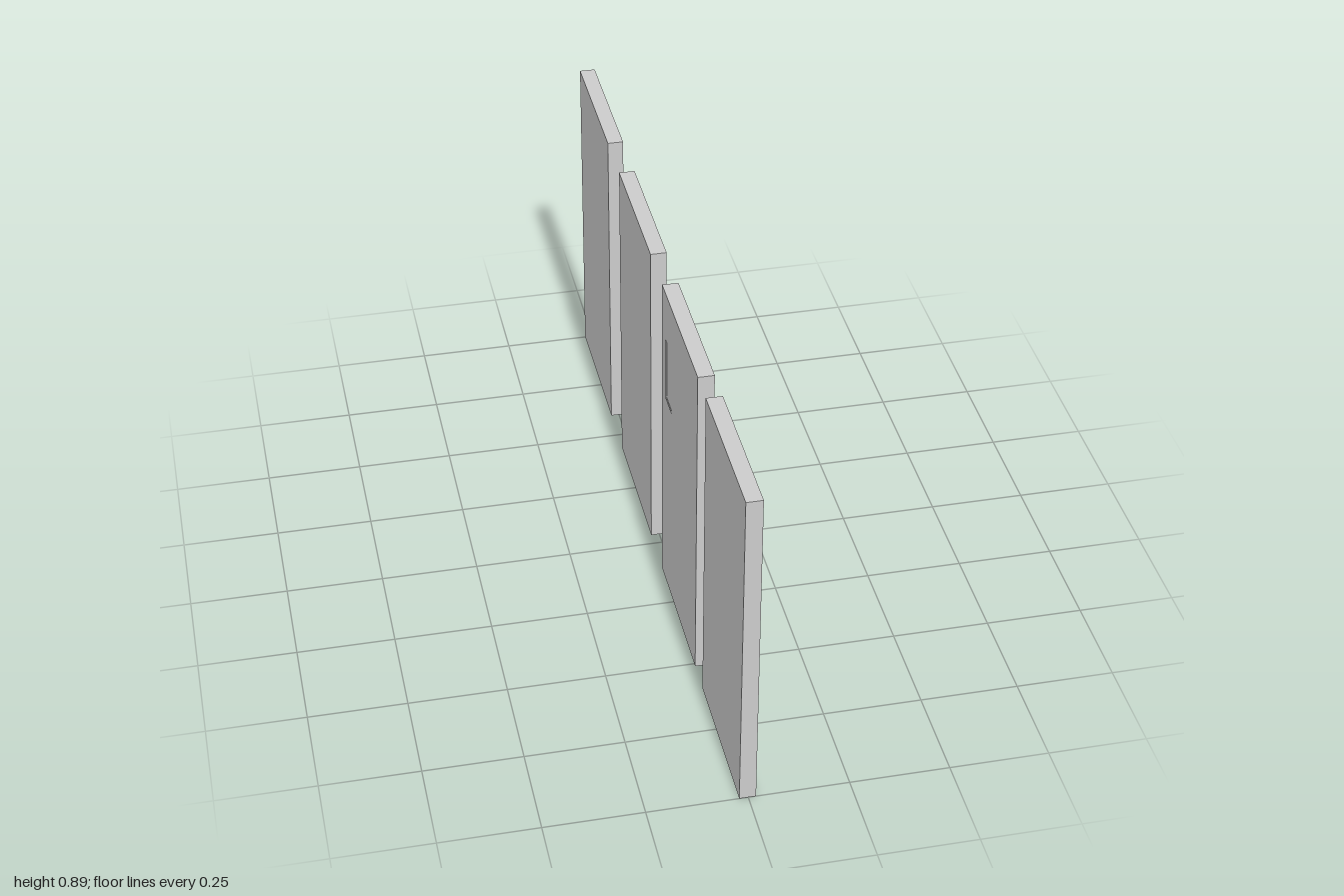
import * as THREE from 'three';
import { mergeGeometries } from 'three/addons/utils/BufferGeometryUtils.js';

const H = 0.89, W = 0.405, RIM = 0.02;
const BACK = -0.022, FLOOR = -0.018, DECK = 0.011, FRONT = 0.019;
const PITCH = 0.027;
const mat = new THREE.MeshStandardMaterial({ color: 0xcccccc, flatShading: true });

// Every panel is laid out flat: u to the right, v up, depth along z.
function add(group, name, geometry) {
  const mesh = new THREE.Mesh(geometry, mat);
  mesh.name = name;
  group.add(mesh);
  return mesh;
}
const rect = (u0, v0, u1, v1) => [[u0, v0], [u1, v0], [u1, v1], [u0, v1]];
const toShape = pts => new THREE.Shape(pts.map(p => new THREE.Vector2(...p)));

// Bevelled plate from an outline, standing on depth z with height h
function plate(group, name, pts, z, h) {
  const b = Math.min(0.002, h / 2);
  const g = new THREE.ExtrudeGeometry(toShape(pts), {
    depth: h - b, bevelEnabled: true, bevelThickness: b, bevelSize: b, bevelOffset: -b, bevelSegments: 1,
  });
  g.translate(0, 0, z);
  return add(group, name, g);
}

// Grids of small round studs: [u, v, columns, rows, pitch]
function studs(group, name, grids, z, h, r = 0.0088) {
  const stud = new THREE.CylinderGeometry(r * 0.75, r, h, 8).rotateX(Math.PI / 2);
  const parts = [];
  for (const [u, v, cols, rows, pitch = PITCH] of grids)
    for (let i = 0; i < cols; i++)
      for (let j = 0; j < rows; j++)
        parts.push(stud.clone().translate(u + i * pitch, v + j * pitch, z + h / 2));
  add(group, name, mergeGeometries(parts));
}

// Raised ring around a dial face
function dial(group, u, v) {
  const r = 0.036;
  const ring = new THREE.Shape().absarc(0, 0, r, 0, Math.PI * 2);
  ring.holes.push(new THREE.Path().absarc(0, 0, r * 0.8, 0, Math.PI * 2, true));
  const g = new THREE.ExtrudeGeometry(ring, { depth: 0.006, bevelEnabled: false, curveSegments: 12 });
  add(group, 'dialRing', g.translate(u, v, FLOOR + 0.003));
}

// Plate with a row of rounded knobs
function knobStrip(group, outline, centres) {
  plate(group, 'knobStrip', outline, FLOOR, 0.01);
  for (const [u, v] of centres) {
    const g = new THREE.CylinderGeometry(0.009, 0.013, 0.012, 12).rotateX(Math.PI / 2);
    add(group, 'knob', g.translate(u, v, FLOOR + 0.016));
  }
}

// Tilted plate lying on the sloping ledge
function ledgePlate(group, u0, u1, v0 = 0.452, v1 = 0.533) {
  const slope = (FLOOR - DECK) / 0.105, v = (v0 + v1) / 2;
  const m = add(group, 'ledgePlate', new THREE.BoxGeometry(u1 - u0, v1 - v0, 0.006));
  m.position.set((u0 + u1) / 2, v, DECK + (v - 0.44) * slope + 0.001);
  m.rotation.x = Math.atan(slope);
}

// Surrounding frame and back sheet
function shell(name, z) {
  const group = new THREE.Group();
  group.name = name;
  const outer = toShape(rect(0, 0, W, H));
  outer.holes.push(new THREE.Path(rect(RIM, RIM, W - RIM, H - RIM).reverse().map(p => new THREE.Vector2(...p))));
  add(group, 'frame', new THREE.ExtrudeGeometry(outer, { depth: FRONT - BACK, bevelEnabled: false }).translate(0, 0, BACK));
  add(group, 'backSheet', new THREE.BoxGeometry(W - 0.001, H - 0.001, FLOOR - BACK).translate(W / 2, H / 2, (FLOOR + BACK) / 2));
  group.rotation.y = Math.PI / 2;
  group.position.z = z;
  return group;
}

// Console panel: deep upper bay, sloping ledge and studded lower deck
function consolePanel(name, z, o) {
  const g = shell(name, z);
  const profile = toShape([[FLOOR, RIM], [DECK, RIM], [DECK, 0.44], [FLOOR, 0.545]]);
  const deck = new THREE.ExtrudeGeometry(profile, { depth: W - 2 * RIM, bevelEnabled: false });
  add(g, 'deck', deck.rotateY(-Math.PI / 2).translate(W - RIM, 0, 0));
  o.blocks.forEach(b => plate(g, 'studBlock', b, DECK, 0.006));
  studs(g, 'studs', o.studs, DECK + 0.006, 0.005);
  plate(g, 'dialPlate', o.dialPlate, FLOOR, 0.003);
  o.dials.forEach(d => dial(g, ...d));
  knobStrip(g, o.strip, o.knobs);
  o.ledge.forEach(l => ledgePlate(g, ...l));
  o.traces.forEach(t => plate(g, 'conduit', t, FLOOR, 0.007));
  return g;
}

const knobHeights = [0.575, 0.625, 0.675, 0.725];
// Angled conduits at the top of a bay, mirrored where needed
const conduits = flip => [
  [[0.04, 0.78], [0.17, 0.78], [0.17, 0.855], [0.15, 0.855], [0.15, 0.8], [0.04, 0.8]],
  [[0.19, 0.765], [0.21, 0.765], [0.21, 0.835], [0.37, 0.835], [0.37, 0.855], [0.19, 0.855]],
  [[0.23, 0.775], [0.35, 0.775], [0.35, 0.815], [0.23, 0.815]],
  rect(0.04, 0.82, 0.13, 0.85),
].map(c => (flip ? c.map(([u, v]) => [W - u, v]).reverse() : c));

export function createModel() {
  const model = new THREE.Group();
  model.name = 'wallPanels';

  // First console panel
  const a = consolePanel('firstPanel', 1.0, {
    blocks: [
      rect(0.024, 0.235, 0.2, 0.435),
      [[0.222, 0.235], [0.383, 0.235], [0.383, 0.335], [0.268, 0.335], [0.268, 0.435], [0.222, 0.435]],
      rect(0.024, 0.135, 0.383, 0.22), rect(0.085, 0.03, 0.383, 0.11),
      ...[0.348, 0.386, 0.424].map(v => rect(0.285, v, 0.38, v + 0.012)),
    ],
    studs: [[0.043, 0.252, 6, 7], [0.238, 0.253, 6, 3], [0.04, 0.15, 13, 3], [0.1, 0.043, 11, 3]],
    dialPlate: rect(0.1, 0.553, 0.28, 0.755),
    dials: [[0.225, 0.69], [0.225, 0.59], [0.145, 0.59]],
    strip: rect(0.302, 0.553, 0.342, 0.75), knobs: knobHeights.map(v => [0.322, v]),
    ledge: [[0.06, 0.19], [0.22, 0.34]],
    traces: [...conduits(false), rect(0.04, 0.56, 0.06, 0.74), rect(0.115, 0.65, 0.17, 0.735)],
  });

  // Second console panel
  const b = consolePanel('secondPanel', 0.51, {
    blocks: [
      rect(0.024, 0.365, 0.383, 0.435),
      [[0.055, 0.135], [0.383, 0.135], [0.383, 0.335], [0.2, 0.335], [0.2, 0.22], [0.055, 0.22]],
      rect(0.024, 0.03, 0.22, 0.11),
    ],
    studs: [[0.042, 0.386, 13, 2], [0.22, 0.155, 6, 7], [0.08, 0.155, 5, 3], [0.042, 0.043, 7, 3]],
    dialPlate: rect(0.06, 0.57, 0.27, 0.7),
    dials: [[0.126, 0.63], [0.21, 0.63]],
    strip: rect(0.055, 0.72, 0.268, 0.752), knobs: [0.11, 0.16, 0.21, 0.25].map(u => [u, 0.736]),
    ledge: [[0.055, 0.08], [0.1, 0.2], [0.22, 0.29], [0.32, 0.35]],
    traces: conduits(true),
  });
  plate(b, 'sideStudPlate', rect(0.295, 0.56, 0.375, 0.745), FLOOR, 0.01);
  studs(b, 'sideStuds', [[0.314, 0.578, 3, 6, 0.0235 + 0.005]].map(([u, v, c, r, p]) => [u, v, c, r, p - 0.002]), FLOOR + 0.01, 0.006, 0.008);
  // Thin angle showing through the back
  add(b, 'backAngle', new THREE.BoxGeometry(0.012, 0.17, 0.002).translate(0.355, 0.67, BACK));
  add(b, 'backAngle', new THREE.BoxGeometry(0.07, 0.01, 0.002).translate(0.325, 0.585, BACK));

  // Third panel: two stud fields split by a groove
  const c = shell('thirdPanel', -0.036);
  add(c, 'bed', new THREE.BoxGeometry(W - 2 * RIM, H - 2 * RIM, 0.02).translate(W / 2, H / 2, FLOOR + 0.01));
  plate(c, 'upperField', [[0.065, 0.43], [0.3, 0.43], [0.3, 0.023], [0.383, 0.023], [0.383, 0.862], [0.065, 0.862]], 0.002, 0.01);
  plate(c, 'lowerField', rect(0.024, 0.023, 0.28, 0.41), 0.002, 0.01);
  studs(c, 'studs', [
    [0.0895, 0.675, 11, 7], [0.1435, 0.486, 9, 7], [0.3175, 0.04, 3, 17, 0.0268],
    [0.052, 0.04, 6, 13], [0.214, 0.04, 3, 6], [0.214, 0.229, 3, 2], [0.214, 0.31, 3, 1], [0.214, 0.364, 3, 1],
  ], 0.012, 0.006);

  // Fourth console panel
  const d = consolePanel('fourthPanel', -0.595, {
    blocks: [
      rect(0.024, 0.235, 0.178, 0.435), rect(0.205, 0.235, 0.345, 0.36), rect(0.03, 0.135, 0.32, 0.22),
      rect(0.055, 0.108, 0.33, 0.124),
      [[0.024, 0.03], [0.383, 0.03], [0.383, 0.22], [0.345, 0.22], [0.345, 0.095], [0.024, 0.095]],
    ],
    studs: [[0.222, 0.245, 5, 5], [0.05, 0.15, 10, 3], [0.04, 0.049, 13, 2], [0.364, 0.105, 1, 4], [0.07, 0.35, 4, 1, 0.021]],
    dialPlate: rect(0.125, 0.555, 0.325, 0.76),
    dials: [[0.182, 0.71], [0.265, 0.71], [0.182, 0.61], [0.265, 0.61]],
    strip: rect(0.063, 0.553, 0.103, 0.75), knobs: knobHeights.map(v => [0.083, v]),
    ledge: [[0.055, 0.09], [0.11, 0.19], [0.22, 0.29], [0.32, 0.345]],
    traces: [...conduits(false), rect(0.345, 0.6, 0.365, 0.755)],
  });

  model.add(a, b, c, d);
  return model;
}
